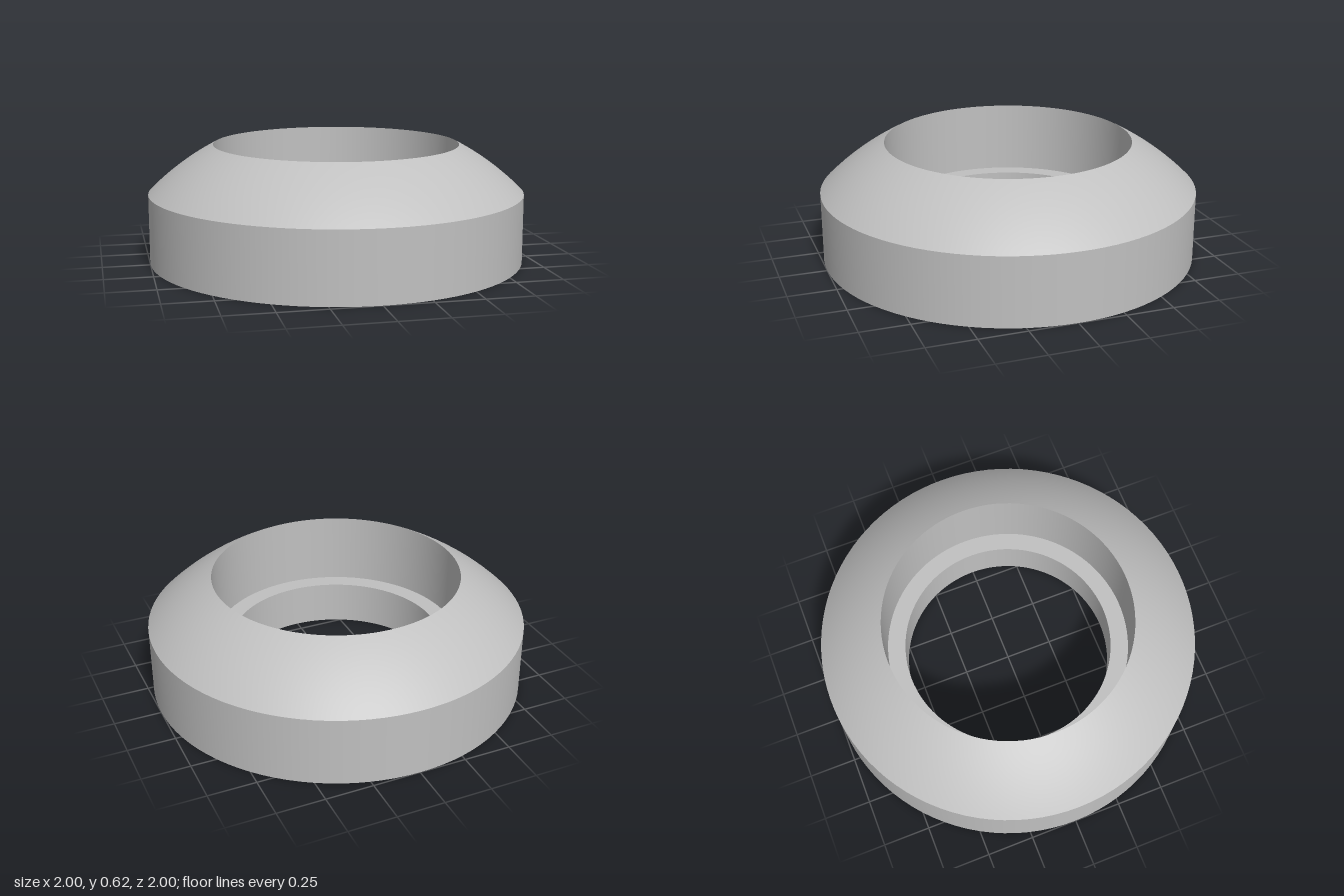
import * as THREE from 'three';

const SEGMENTS = 96;
const OUTER = 1, POCKET = 0.655, BORE = 0.56;
const WALL_TOP = 0.365, TOP = 0.618, SHELF = 0.236;
const HOLE_RADIUS = 0.046, HOLE_DEPTH = 0.15;

export function createModel() {
  const group = new THREE.Group();
  group.name = 'mountingRing';
  const grey = new THREE.MeshStandardMaterial({ color: 0xc0c0c0 });
  grey.name = 'grey';

  const add = (name, geometry, x = 0, z = 0) => {
    const mesh = new THREE.Mesh(geometry, grey);
    mesh.name = name;
    mesh.position.set(x, 0, z);
    group.add(mesh);
  };
  // Each surface is turned separately so the edges between them stay sharp
  const turn = (points, segments = SEGMENTS) =>
    new THREE.LatheGeometry(points.map(([r, y]) => new THREE.Vector2(r, y)), segments);

  // Spherical shoulder, centred on the axis below the base
  const centreY = (TOP ** 2 + POCKET ** 2 - WALL_TOP ** 2 - OUTER ** 2) / (2 * (TOP - WALL_TOP));
  const radius = Math.hypot(OUTER, WALL_TOP - centreY);
  const startAngle = Math.atan2(WALL_TOP - centreY, OUTER);
  const endAngle = Math.atan2(TOP - centreY, POCKET);
  const dome = [];
  for (let i = 0; i <= 16; i++) {
    const a = THREE.MathUtils.lerp(startAngle, endAngle, i / 16);
    dome.push([radius * Math.cos(a), centreY + radius * Math.sin(a)]);
  }

  add('outerWall', turn([[OUTER, 0], [OUTER, WALL_TOP]]));
  add('domedShoulder', turn(dome));
  add('pocketWall', turn([[POCKET, TOP], [POCKET, SHELF]]));
  add('innerShelf', turn([[POCKET, SHELF], [BORE, SHELF]]));
  add('boreWall', turn([[BORE, SHELF], [BORE, 0]]));

  // Four blind screw holes in an off-centre rectangle, set diagonally
  const holes = [];
  for (const along of [-0.143, 0.594]) {
    for (const across of [-0.62, 0.62]) {
      holes.push([(along - across) * Math.SQRT1_2, (along + across) * Math.SQRT1_2]);
    }
  }

  // Underside with the bore and screw holes cut out
  const base = new THREE.Shape().absarc(0, 0, OUTER, 0, Math.PI * 2);
  base.holes.push(new THREE.Path().absarc(0, 0, BORE, 0, Math.PI * 2, true));
  for (const [x, z] of holes) {
    base.holes.push(new THREE.Path().absarc(x, z, HOLE_RADIUS, 0, Math.PI * 2, true));
  }
  add('underside', new THREE.ShapeGeometry(base, SEGMENTS / 2).rotateX(Math.PI / 2));

  holes.forEach(([x, z], i) => {
    add(`screwHoleWall${i + 1}`, turn([[HOLE_RADIUS, HOLE_DEPTH], [HOLE_RADIUS, 0]], 48), x, z);
    add(`screwHoleEnd${i + 1}`, turn([[0, HOLE_DEPTH], [HOLE_RADIUS, HOLE_DEPTH]], 48), x, z);
  });
  return group;
}
